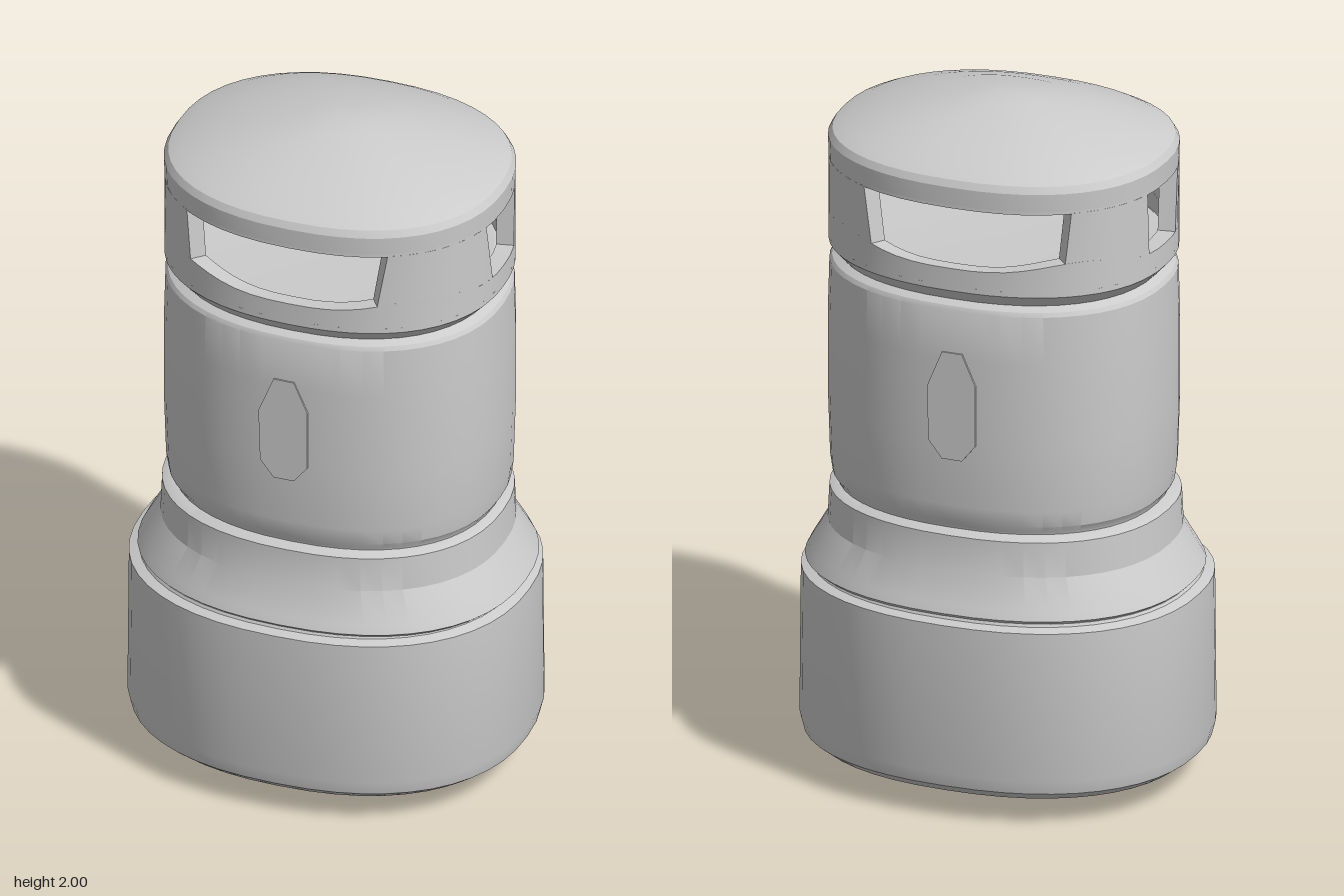
import * as THREE from 'three';
import { mergeGeometries, toCreasedNormals } from 'three/addons/utils/BufferGeometryUtils.js';

const POWER = 2.28;   // squareness of the oval cross-section
const R = 0.487;      // half width of the upper body
const WALL = 0.05;    // thickness of the lantern wall

const soften = (v) => Math.sign(v) * Math.pow(Math.abs(v), 2 / POWER);

// Point on the oval at angle t (0 = front, quarter turn = +x)
function ovalPoint(t, r, y, ratio, cx) {
  return [cx + r * soften(Math.sin(t)), y, r * ratio * soften(Math.cos(t))];
}

const finish = (geo) => toCreasedNormals(geo, 0.45);

function addMesh(group, name, geo) {
  const mat = new THREE.MeshStandardMaterial({ color: 0xcccccc });
  const mesh = new THREE.Mesh(geo, mat);
  mesh.name = name;
  group.add(mesh);
  return mesh;
}

// Lathe whose round section is remapped to the oval
function ovalLathe(profile, ratio, cx) {
  const geo = new THREE.LatheGeometry(profile.map(([r, y]) => new THREE.Vector2(r, y)), 48);
  const p = geo.attributes.position;
  for (let i = 0; i < p.count; i++) {
    const x = p.getX(i), z = p.getZ(i);
    p.setXYZ(i, ...ovalPoint(Math.atan2(x, z), Math.hypot(x, z), p.getY(i), ratio, cx));
  }
  return finish(geo);
}

// Box bent along the oval; edges a0, a1 are functions of height
function bentWall(a0, a1, yLow, yHigh, steps) {
  const geo = new THREE.BoxGeometry(1, 1, 1, steps, 1, 1);
  const p = geo.attributes.position;
  for (let i = 0; i < p.count; i++) {
    const u = p.getX(i) + 0.5, v = p.getY(i) + 0.5;
    const t = THREE.MathUtils.lerp(a0(v), a1(v), u);
    const y = v > 0.5 ? yHigh(t) : yLow(t);
    const r = p.getZ(i) > 0 ? R : R - WALL;
    p.setXYZ(i, ...ovalPoint(t, r, y, 0.832, 0.012));
  }
  return geo;
}

// Angle of a given fraction across the oval
const angleAt = (f) => Math.sign(f) * Math.asin(Math.pow(Math.abs(f), POWER / 2));

export function createModel() {
  const group = new THREE.Group();
  const RATIO = 0.832;

  // Wide foot with a shallow domed underside
  addMesh(group, 'base', ovalLathe([
    [0, 0], [0.22, 0.008], [0.4, 0.04], [0.535, 0.075], [0.568, 0.1], [0.578, 0.14],
    [0.574, 0.582], [0.545, 0.592], [0.54, 0.6], [0.3, 0.602],
  ], 0.845, 0));

  // Sloping collar above the foot
  addMesh(group, 'collar', ovalLathe([
    [0.3, 0.594], [0.54, 0.596], [0.557, 0.61], [0.544, 0.635], [0.494, 0.72],
    [0.489, 0.822], [0.462, 0.835], [0.3, 0.84],
  ], 0.838, 0.007));

  // Main barrel, closed on top by the lantern floor
  addMesh(group, 'barrel', ovalLathe([
    [0.3, 0.83], [0.46, 0.835], [0.462, 0.842], [0.476, 0.862], [0.483, 0.91], [0.489, 1.1],
    [0.489, 1.35], [0.485, 1.495], [0.478, 1.507], [0.455, 1.52], [0.487, 1.555],
    [0.487, 1.57], [0.43, 1.605], [0.25, 1.597], [0, 1.595],
  ], RATIO, 0.012));

  // Lantern wall: sill ring, four posts between the windows, top ring
  const sill = (t) => 1.622 + 0.035 * Math.pow(Math.abs(Math.sin(2 * t)), 3);
  const level = (y) => () => y;
  const mix = (low, high) => (v) => angleAt(v > 0.5 ? high : low);
  const frontLeft = mix(0.51, 0.565), frontRight = mix(-0.655, -0.685);
  const sideFront = mix(0.19, 0.27), sideBack = mix(-0.25, -0.27);
  const Q = Math.PI / 2;
  const posts = [
    [frontLeft, (v) => Q - sideFront(v)],
    [(v) => Q - sideBack(v), (v) => 2 * Q - frontLeft(v)],
    [(v) => -Q + sideFront(v), frontRight],
    [(v) => -2 * Q - frontRight(v), (v) => -Q + sideBack(v)],
  ].map(([a, b]) => bentWall(a, b, sill, level(1.805), 10));
  const full = [level(-Math.PI), level(Math.PI)];
  addMesh(group, 'lanternWall', finish(mergeGeometries([
    bentWall(...full, level(1.555), sill, 64),
    bentWall(...full, level(1.803), level(1.865), 48),
    ...posts,
  ])));

  // Domed cap with a flat ceiling inside
  addMesh(group, 'cap', ovalLathe([
    [0, 1.83], [0.44, 1.812], [0.487, 1.812], [0.489, 1.865], [0.477, 1.885], [0.44, 1.903],
    [0.34, 1.935], [0.22, 1.968], [0.1, 1.988], [0, 2],
  ], RATIO, 0.012));

  // Thin hexagonal plates, front and back
  const hex = new THREE.Shape([
    [-0.03, 1.05], [0.03, 1.05], [0.07, 1.1], [0.07, 1.28], [0.03, 1.37], [-0.03, 1.37],
    [-0.075, 1.26], [-0.07, 1.1],
  ].map(([x, y]) => new THREE.Vector2(x, y)));
  for (const side of [1, -1]) {
    const geo = new THREE.ExtrudeGeometry(hex, { depth: 0.02, bevelEnabled: false });
    geo.translate(0, 0, 0.39);
    const plate = addMesh(group, side > 0 ? 'frontPlate' : 'backPlate', geo);
    if (side < 0) plate.rotation.y = Math.PI;
  }

  return group;
}
